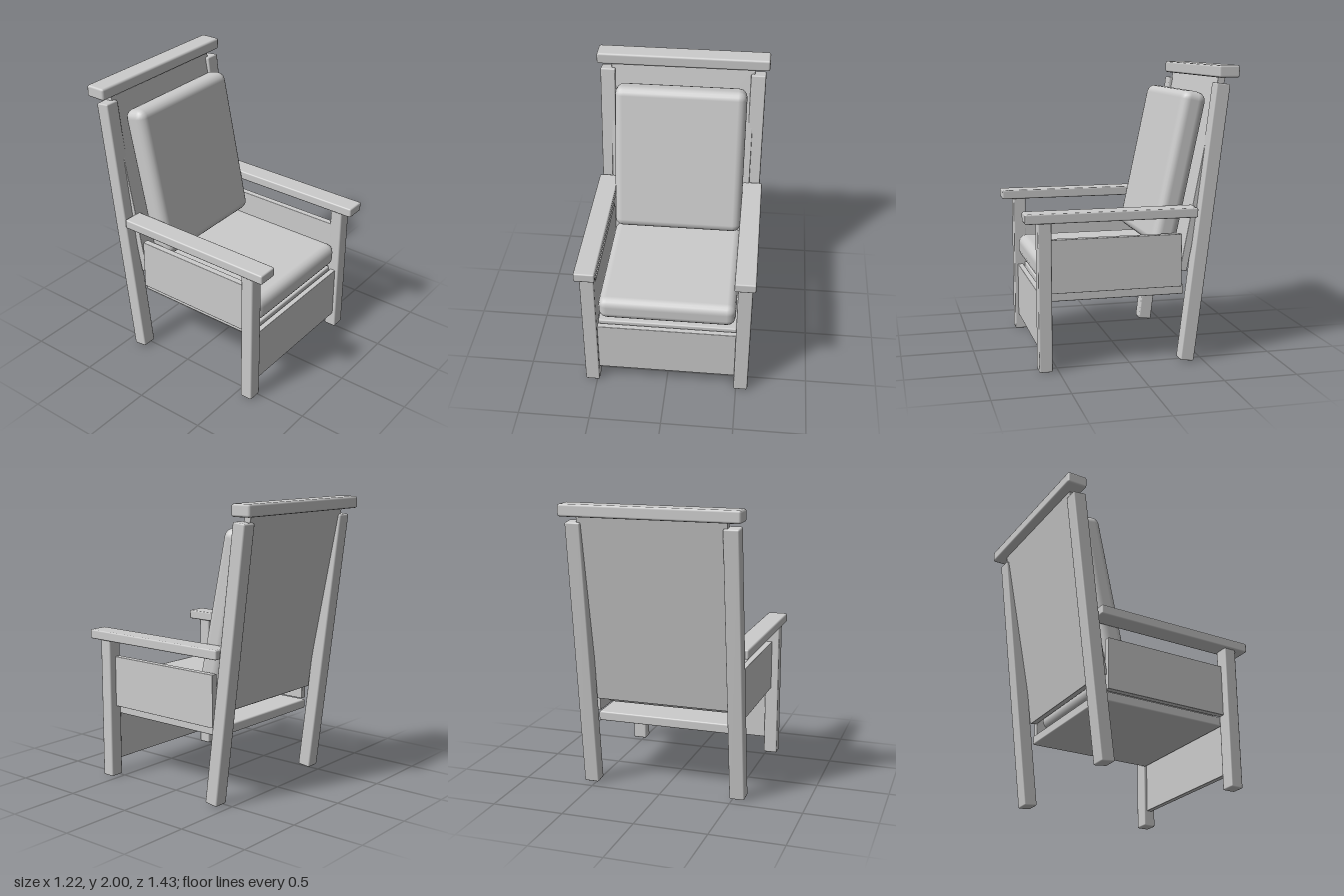
import * as THREE from 'three';
import { RoundedBoxGeometry } from 'three/addons/geometries/RoundedBoxGeometry.js';

const material = new THREE.MeshStandardMaterial({ color: 0xcccccc });

// Box with softened edges, placed by its centre and leaned back by tilt degrees
function block(name, size, position, { tilt = 0, radius = 0.01, segments = 1 } = {}) {
  const mesh = new THREE.Mesh(new RoundedBoxGeometry(...size, segments, radius), material);
  mesh.name = name;
  mesh.position.set(...position);
  mesh.rotation.x = -THREE.MathUtils.degToRad(tilt);
  return mesh;
}

export function createModel() {
  const chair = new THREE.Group();
  chair.name = 'armchair';

  // Legs, armrests and side panels, mirrored left and right
  for (const [side, s] of [['left', 1], ['right', -1]]) {
    chair.add(
      block(side + 'FrontLeg', [0.1, 1.0, 0.09], [s * 0.533, 0.505, 0.585]),
      block(side + 'BackLeg', [0.106, 1.882, 0.096], [s * 0.532, 0.947, -0.498], { tilt: 7 }),
      block(side + 'Armrest', [0.142, 0.066, 1.16], [s * 0.531, 1.033, 0.135]),
      block(side + 'SidePanel', [0.045, 0.36, 0.91], [s * 0.507, 0.7, 0.1], { radius: 0.003 })
    );
  }

  // Seat board and front apron
  chair.add(
    block('seatBoard', [0.97, 0.066, 0.94], [0, 0.488, 0.085]),
    block('frontApron', [0.98, 0.385, 0.04], [0, 0.31, 0.585], { radius: 0.004 })
  );

  // Backrest board and the rail across its top
  chair.add(
    block('backBoard', [1.015, 1.33, 0.05], [0, 1.275, -0.5], { tilt: 11, radius: 0.004 }),
    block('topRail', [1.22, 0.082, 0.145], [0, 1.959, -0.643], { radius: 0.015 })
  );

  // Cushions
  const soft = { radius: 0.06, segments: 2 };
  chair.add(
    block('seatCushion', [0.95, 0.17, 0.94], [0, 0.655, 0.135], soft),
    block('backCushion', [0.926, 1.07, 0.172], [0, 1.3, -0.357], { ...soft, tilt: 12 })
  );

  return chair;
}
